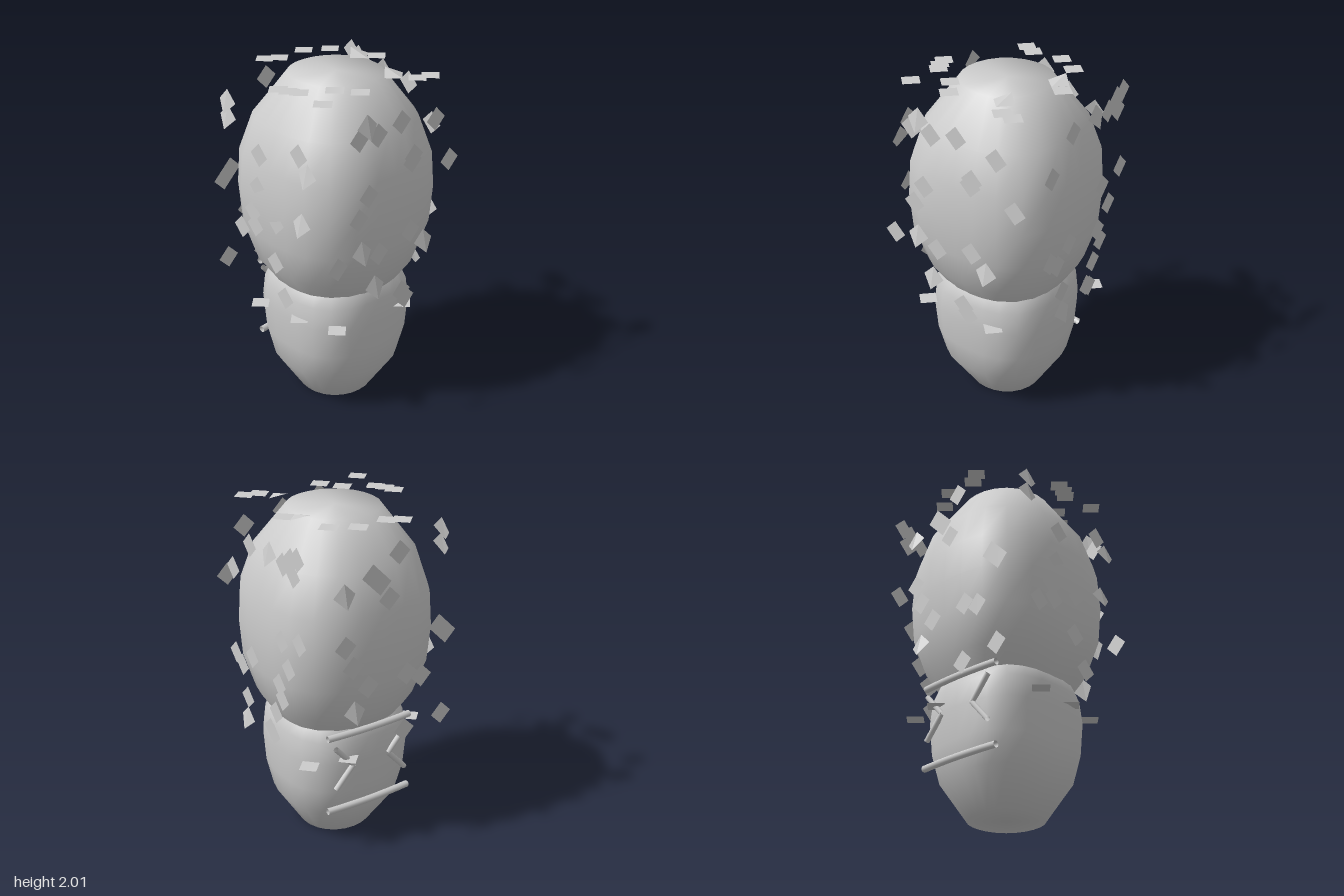
import * as THREE from 'three';

const material = new THREE.MeshStandardMaterial({ color: 0xcccccc });
const thinMaterial = new THREE.MeshStandardMaterial({ color: 0xcccccc, side: THREE.DoubleSide });

// Smooth rounded-square body from rings [y, half width, squareness], closed by flat caps
function loftedBody(name, rings) {
  const N = 24, pos = [], index = [];
  for (const [y, r, n] of rings) {
    for (let i = 0; i < N; i++) {
      const a = (i / N) * Math.PI * 2;
      const c = Math.cos(a), s = Math.sin(a);
      const k = r / Math.pow(Math.abs(c) ** n + Math.abs(s) ** n, 1 / n);
      pos.push(c * k, y, s * k);
    }
  }
  for (let j = 0; j < rings.length - 1; j++) {
    for (let i = 0; i < N; i++) {
      const a = j * N + i, b = j * N + (i + 1) % N;
      index.push(a, a + N, b, b, a + N, b + N);
    }
  }
  const low = pos.length / 3, high = low + 1, last = (rings.length - 1) * N;
  pos.push(0, rings[0][0], 0, 0, rings.at(-1)[0], 0);
  for (let i = 0; i < N; i++) {
    const k = (i + 1) % N;
    index.push(low, i, k, high, last + k, last + i);
  }
  const g = new THREE.BufferGeometry();
  g.setAttribute('position', new THREE.Float32BufferAttribute(pos, 3));
  g.setIndex(index);
  g.computeVertexNormals();
  const mesh = new THREE.Mesh(g, material);
  mesh.name = name;
  return mesh;
}

// Diamond flake folded down the middle, its lower tip lifted outward (+z)
function flakeGeometry(lift) {
  const s = 0.069;
  const T = [0, s, 0], B = [0, -s, lift], L = [-s, 0, 0], R = [s, 0, 0];
  const g = new THREE.BufferGeometry();
  g.setAttribute('position', new THREE.Float32BufferAttribute([T, L, B, T, B, R].flat(), 3));
  g.computeVertexNormals();
  return g;
}

// Round bar along a quadratic curve through three control points
function bar(name, a, b, c, radius) {
  const curve = new THREE.QuadraticBezierCurve3(a, b, c);
  const mesh = new THREE.Mesh(new THREE.TubeGeometry(curve, 8, radius, 8), thinMaterial);
  mesh.name = name;
  return mesh;
}

// Flake centres on each face of the upper body's bounding box; a third value 1 marks a folded flake
const FRONT = [[-0.22, 1.85, 1], [-0.27, 1.79], [-0.14, 1.78], [0.03, 1.81], [0.29, 1.76], [0.13, 1.59],
  [0.12, 1.56], [0.41, 1.49], [-0.2, 1.45], [-0.27, 1.33], [-0.42, 1.09], [-0.25, 1.13, 1], [-0.12, 1.08],
  [0.12, 1.14], [0.22, 1.05, 1], [-0.15, 0.89, 1], [0.06, 0.78], [0.09, 0.73]];
const LEFT = [[0.08, 1.81], [-0.13, 1.83, 1], [-0.26, 1.81], [-0.34, 1.86], [-0.4, 1.88], [-0.36, 1.78],
  [0.27, 1.62], [-0.41, 1.41], [-0.23, 1.36], [-0.3, 1.22], [0.27, 1.1], [0.2, 1.05], [0.09, 1.14],
  [-0.2, 1.09], [-0.23, 1.01], [-0.16, 0.9], [0.15, 0.86], [0.15, 0.73, 1], [-0.1, 0.77], [-0.13, 0.75]];
const BACK = [[0.26, 1.66, 1], [0.08, 1.73], [0.03, 1.68], [-0.03, 1.58], [-0.09, 1.83], [0.25, 1.36],
  [0.2, 1.23], [0.1, 1.09], [0.19, 0.96, 1], [-0.16, 1.1], [-0.26, 1.06], [-0.15, 0.75],
  [-0.37, 1.34], [-0.42, 1.29], [-0.41, 0.78]];
const RIGHT = [[-0.33, 1.83, 1], [-0.33, 1.74, 1], [-0.07, 1.59], [-0.09, 1.39], [-0.14, 1.23],
  [0.06, 1.23], [-0.12, 1.15], [-0.24, 1.1], [0.05, 0.98], [0.13, 0.79],
  [0.33, 1.6, 1], [0.26, 1.69], [0.28, 1.3, 1]];
const TOP = [[-0.16, -0.41], [-0.09, -0.37], [0.1, -0.38], [0.23, -0.3], [0.27, -0.1, 1], [0.34, -0.03],
  [-0.42, 0.02], [-0.4, 0.08], [-0.37, 0.13], [-0.21, 0.23], [-0.13, 0.34], [-0.39, 0.34],
  [0.18, 0.27, 1], [0.25, 0.38], [0.33, 0.4]];
const BOTTOM = [[-0.38, 0.12], [-0.43, -0.17], [0.39, -0.34], [0.18, 0.38], [-0.31, 0.36], [0.16, -0.39]];

export function createModel() {
  const root = new THREE.Group();

  root.add(loftedBody('lowerBody', [
    [0, 0.215, 2.1], [0.21, 0.345, 2.5], [0.38, 0.376, 2.8], [0.57, 0.387, 2.9],
    [0.7, 0.377, 2.8], [0.79, 0.345, 2.6], [0.9, 0.25, 2.2],
  ]));

  root.add(loftedBody('upperBody', [
    [0.61, 0.26, 2.1], [0.87, 0.425, 2.6], [1.08, 0.482, 2.9], [1.3, 0.495, 3],
    [1.51, 0.486, 2.9], [1.73, 0.425, 2.6], [1.975, 0.26, 2.1],
  ]));

  // flakes: each face gets its points, a rule to place them and a turn to face outward
  const flat = flakeGeometry(0), folded = flakeGeometry(0.033), half = 0.49;
  const faces = [
    ['frontFlakes', FRONT, (x, y) => [x, y, half], [0, 0, 0]],
    ['backFlakes', BACK, (x, y) => [x, y, -half], [0, Math.PI, 0]],
    ['leftFlakes', LEFT, (z, y) => [half, y, z], [0, Math.PI / 2, 0]],
    ['rightFlakes', RIGHT, (z, y) => [-half, y, z], [0, -Math.PI / 2, 0]],
    ['topFlakes', TOP, (x, z) => [x, 1.975, z], [-Math.PI / 2, 0, Math.PI]],
    ['bottomFlakes', BOTTOM, (x, z) => [x, 0.61, z], [Math.PI / 2, 0, 0]],
  ];
  for (const [name, points, place, turn] of faces) {
    const group = new THREE.Group();
    group.name = name;
    for (const [u, v, isFolded] of points) {
      const mesh = new THREE.Mesh(isFolded ? folded : flat, thinMaterial);
      mesh.name = 'flake';
      mesh.position.set(...place(u, v));
      mesh.rotation.set(...turn);
      group.add(mesh);
    }
    root.add(group);
  }

  // face on the back: two level, gently bowed bars and a pair of inward-pointing chevron eyes
  const V = (x, y, z) => new THREE.Vector3(x, y, z);
  for (const [name, y] of [['upperBar', 0.755], ['lowerBar', 0.28]]) {
    root.add(bar(name, V(-0.28, y, -0.36), V(0, y, -0.385), V(0.28, y, -0.36), 0.02));
  }
  for (const s of [-1, 1]) {
    const eye = new THREE.Group();
    eye.name = s > 0 ? 'leftEye' : 'rightEye';
    const tip = V(s * 0.12, 0.557, -0.383);
    for (const y of [0.425, 0.69]) {
      const end = V(s * 0.24, y, -0.383);
      eye.add(bar('eyeStroke', tip, tip.clone().lerp(end, 0.5), end, 0.016));
    }
    root.add(eye);
  }
  return root;
}
